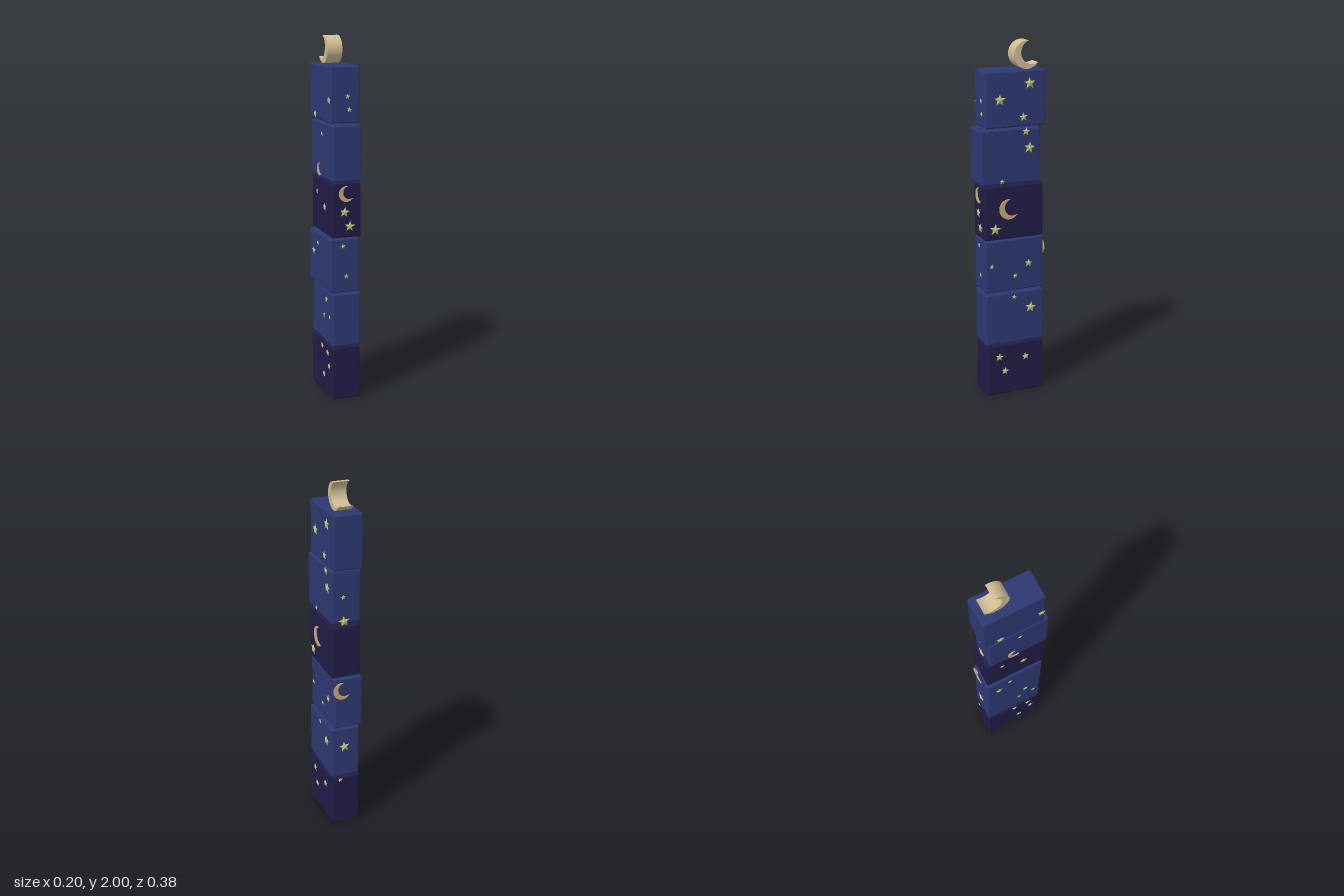
import * as THREE from 'three';
import { RoundedBoxGeometry } from 'three/addons/geometries/RoundedBoxGeometry.js';

const mat = (name, color) => Object.assign(new THREE.MeshStandardMaterial({ color }), { name });
const blue = mat('night blue', 0x2d3872);
const dark = mat('midnight purple', 0x201c47);
const starGold = mat('star yellow', 0xbec578);
const moonTan = mat('moon tan', 0xc9a878);
const cream = mat('finial cream', 0xcfbd92);
starGold.side = THREE.DoubleSide;

// Common block size and the step from one block to the next
const W = 0.165, H = 0.302, D = 0.344, PITCH = 0.3096;

// Five-pointed star as a shallow faceted pyramid facing +z
function starGeometry(r) {
  const pts = [];
  const rim = (i) => {
    const a = Math.PI / 2 + (i * Math.PI) / 5;
    const q = i % 2 ? r * 0.45 : r;
    return [Math.cos(a) * q, Math.sin(a) * q, 0.001];
  };
  for (let i = 0; i < 10; i++) pts.push(...rim(i), ...rim(i + 1), 0, 0, 0.003 + r * 0.2);
  const g = new THREE.BufferGeometry();
  g.setAttribute('position', new THREE.Float32BufferAttribute(pts, 3));
  g.computeVertexNormals();
  return g;
}

// Crescent opening towards +x and slightly upwards, extruded along z
function crescentGeometry(r, depth) {
  const half = 1.01, off = 0.43, inner = 0.857;
  const tip = Math.atan2(Math.sin(half), Math.cos(half) - off);
  const s = new THREE.Shape();
  s.absarc(0, 0, r, half, Math.PI * 2 - half, false);
  s.absarc(off * r, 0, inner * r, Math.PI * 2 - tip, tip, true);
  const g = new THREE.ExtrudeGeometry(s, { depth, bevelEnabled: false, curveSegments: 20 });
  return g.rotateZ(0.42);
}

// One block of the tower, every third one dark, shifted and twisted a little
function makeBlock(i, x, z) {
  const block = new THREE.Group();
  block.name = `block${i + 1}`;
  block.position.set(x, i * PITCH + H / 2, z);
  block.rotation.y = i % 2 ? -0.008 : 0.01;
  const body = new THREE.Mesh(new RoundedBoxGeometry(W, H, D, 3, 0.01), i % 3 ? blue : dark);
  body.name = 'blockBody';
  block.add(body);
  return block;
}

// Turn about y that points a decoration out of each face
const turns = { front: 0, left: Math.PI / 2, back: Math.PI, right: -Math.PI / 2 };

// Fix a decoration to a face; "along" is world x on front and back, world z on the sides
function attach(blocks, face, mesh, along, y) {
  const block = blocks[Math.floor(y / PITCH)];
  const { x, y: cy, z } = block.position;
  const turn = turns[face];
  const out = new THREE.Vector3(Math.sin(turn), 0, Math.cos(turn));
  const side = face === 'left' || face === 'right';
  mesh.position.set(
    side ? (out.x * W) / 2 : along - x,
    y - cy,
    side ? along - z : (out.z * D) / 2,
  );
  mesh.rotation.y = turn;
  block.add(mesh);
}

export function createModel() {
  const model = new THREE.Group();
  model.name = 'starryBlockTower';

  // Stacked blocks, from the bottom up
  const blocks = [
    makeBlock(0, 0.002, -0.008),
    makeBlock(1, 0.004, -0.004),
    makeBlock(2, -0.008, -0.006),
    makeBlock(3, 0.002, 0),
    makeBlock(4, -0.004, 0.017),
    makeBlock(5, -0.004, -0.012),
  ];
  model.add(...blocks);

  // Stars of one size on one face
  const stars = (face, r, ...points) => {
    for (const [along, y] of points) {
      const star = new THREE.Mesh(starGeometry(r), starGold);
      star.name = 'star';
      star.rotation.z = 0.15 * Math.sin(along * 90 + y * 40);
      attach(blocks, face, star, along, y);
    }
  };
  const large = 0.034, medium = 0.025, small = 0.016;
  stars('front', 0.03, [-0.01, 1.07], [0.02, 0.99]);
  stars('front', small, [-0.02, 0.88], [0, 0.71], [0.01, 1.69], [0.02, 1.62]);
  stars('left', large, [-0.1, 0.51], [0.11, 0.99], [-0.09, 1.78], [0.08, 1.7], [-0.09, 1.43]);
  stars('left', medium, [0.09, 0.23], [-0.07, 0.21], [0.055, 0.14], [-0.09, 0.77], [-0.055, 1.6], [-0.07, 1.52]);
  stars('left', small, [0, 0.585], [0.13, 0.775], [-0.01, 0.705], [0.07, 1.255]);
  stars('back', large, [0.01, 0.495], [0.01, 1.25]);
  stars('back', small, [0.04, 0.285], [0.015, 1.39]);
  stars('right', 0.022, [0, 0.27], [0.09, 0.255], [0.11, 0.18], [0.03, 0.11], [0.07, 0.56]);
  stars('right', medium, [-0.11, 0.8], [0.05, 1.08], [-0.09, 1.575], [0.14, 1.67]);
  stars('right', small, [0.03, 0.46], [0.125, 0.47], [-0.04, 0.86], [-0.08, 1.145], [0.02, 1.48]);

  // One flat moon on each side of the tower
  const moon = (face, r, along, y) => {
    const mesh = new THREE.Mesh(crescentGeometry(r, 0.006), moonTan);
    mesh.name = 'moon';
    attach(blocks, face, mesh, along, y);
  };
  moon('front', 0.043, 0, 1.17);
  moon('left', 0.057, 0.03, 1.1);
  moon('back', 0.05, 0.03, 0.85);
  moon('right', 0.035, -0.015, 1.28);

  // Crescent standing on the top block, opening to the back
  const finial = new THREE.Mesh(crescentGeometry(0.075, 0.086).translate(0, 0, -0.043), cream);
  finial.name = 'crescentFinial';
  finial.rotation.y = Math.PI / 2;
  finial.position.set(0, 1.925, -0.09);
  model.add(finial);
  return model;
}
